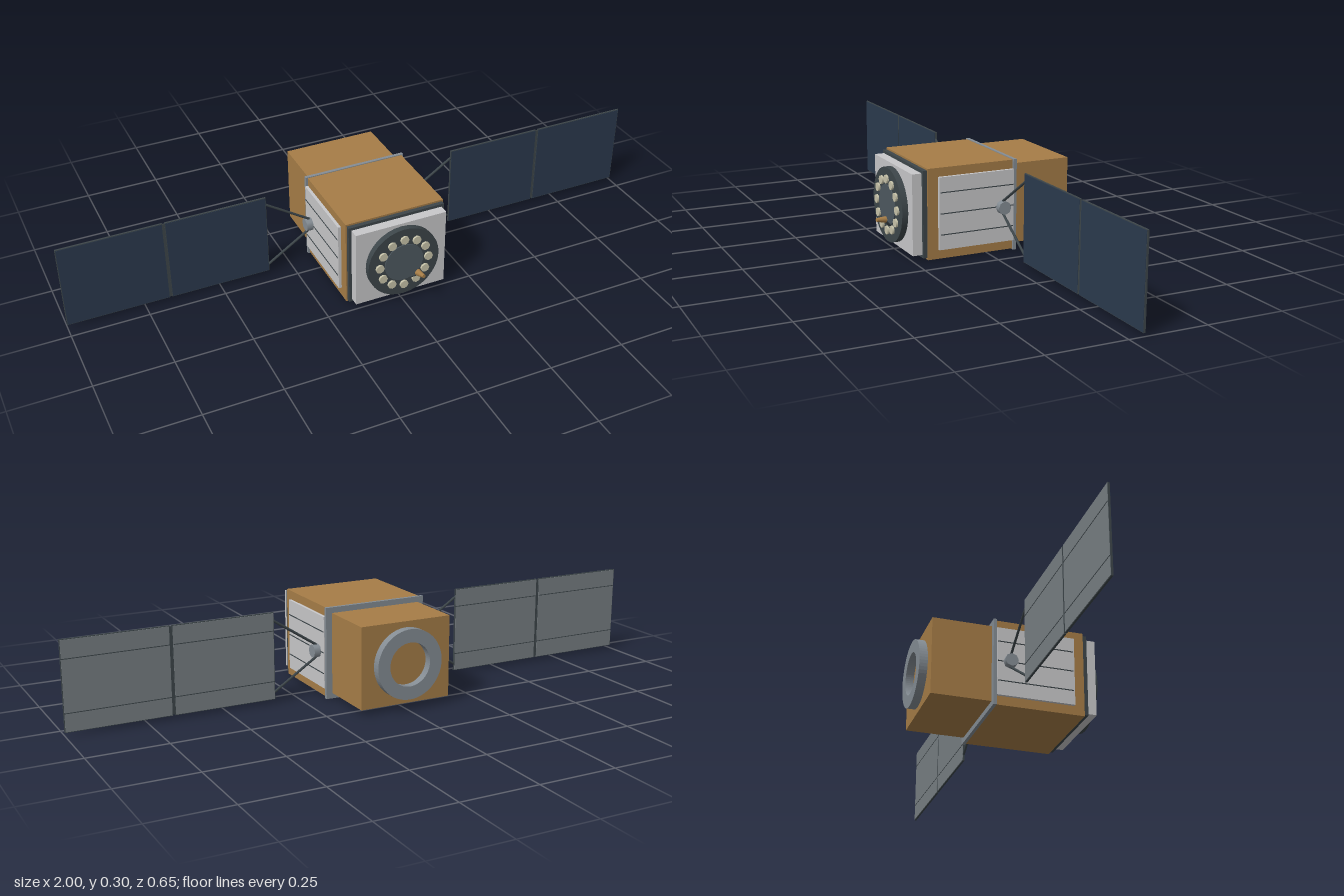
import * as THREE from 'three';

const mat = (name, color, flatShading = false) => {
  const m = new THREE.MeshStandardMaterial({ color, flatShading });
  m.name = name;
  return m;
};

export function createModel() {
  const gold = mat('gold foil', 0xa67d47);
  const white = mat('light panel', 0xc8c8ca);
  const dark = mat('dark frame', 0x3d464a);
  const inner = mat('inner disc', 0x4e5960);
  const grey = mat('grey metal', 0x858d94);
  const cream = mat('cream elements', 0xc9c5ab);
  const navy = mat('solar cells', 0x2b3a4e);
  const back = mat('panel backing', 0x787f83);

  const model = new THREE.Group();
  model.name = 'satellite';
  const CY = 0.149;

  const add = (name, geo, material, x = 0, y = 0, z = 0, parent = model) => {
    const mesh = new THREE.Mesh(geo, material);
    mesh.name = name;
    mesh.position.set(x, y, z);
    parent.add(mesh);
    return mesh;
  };
  // Box from its full width, height and z range
  const slab = (name, w, h, z0, z1, material) =>
    add(name, new THREE.BoxGeometry(w, h, z1 - z0), material, 0, CY, (z0 + z1) / 2);
  // Disc facing +z between two depths
  const disc = (name, r, z0, z1, sides, material, x = 0, y = CY) =>
    add(name, new THREE.CylinderGeometry(r, r, z1 - z0, sides).rotateX(Math.PI / 2),
      material, x, y, (z0 + z1) / 2);
  // Tapered rod between two points
  const rod = (name, a, b, r0, r1, sides, material, parent = model) => {
    const p = new THREE.Vector3(...a), q = new THREE.Vector3(...b);
    const d = q.clone().sub(p);
    const mesh = add(name, new THREE.CylinderGeometry(r1, r0, d.length(), sides), material, 0, 0, 0, parent);
    mesh.position.copy(p).add(q).multiplyScalar(0.5);
    mesh.quaternion.setFromUnitVectors(new THREE.Vector3(0, 1, 0), d.normalize());
    return mesh;
  };

  // Body
  slab('mainBody', 0.336, 0.293, -0.092, 0.204, gold);
  slab('rearBody', 0.31, 0.262, -0.297, -0.1, gold);
  slab('rearFrame', 0.35, 0.298, -0.101, -0.09, grey);
  slab('frontFrame', 0.328, 0.281, 0.204, 0.218, dark);
  slab('frontPlate', 0.31, 0.262, 0.218, 0.25, white);

  // Rear ring with open centre
  const ringShape = new THREE.Shape().absarc(0, 0, 0.112, 0, Math.PI * 2);
  ringShape.holes.push(new THREE.Path().absarc(0, 0, 0.07, 0, Math.PI * 2, true));
  add('rearRing', new THREE.ExtrudeGeometry(ringShape,
    { depth: 0.027, bevelEnabled: false, curveSegments: 32 }), grey, 0, CY, -0.324);

  // Antenna disc with a circle of elements
  disc('antennaDisc', 0.122, 0.25, 0.27, 32, dark);
  disc('antennaInnerDisc', 0.066, 0.27, 0.273, 32, inner);
  for (let i = 0; i < 12; i++) {
    const a = i * Math.PI / 6;
    disc('antennaElement', 0.0145, 0.27, 0.277, 8, cream,
      0.084 * Math.cos(a), CY + 0.084 * Math.sin(a));
  }

  // Small horn on an arm
  rod('hornArm', [0.025, 0.085, 0.27], [0.04, 0.112, 0.3], 0.004, 0.004, 8, dark);
  rod('horn', [0.038, 0.112, 0.293], [0.043, 0.116, 0.325], 0.011, 0.006, 10, gold);

  // Wings, the same on both sides
  for (const s of [1, -1]) {
    const side = new THREE.Group();
    side.name = s > 0 ? 'leftSide' : 'rightSide';
    model.add(side);
    const box = (name, w, h, d, m, x, y, z) =>
      add(name, new THREE.BoxGeometry(w, h, d), m, s * x, y, z, side);

    // Radiator and its grooves
    box('radiator', 0.012, 0.234, 0.259, white, 0.172, 0.15, 0.0395);
    for (const y of [0.082, 0.15, 0.218])
      box('radiatorLine', 0.002, 0.003, 0.253, dark, 0.1785, y, 0.0385);

    // Hub and yoke
    const Z = -0.048;
    add('hub', new THREE.CylinderGeometry(0.022, 0.022, 0.026, 8).rotateZ(Math.PI / 2),
      grey, s * 0.187, CY, Z, side);
    for (const v of [1, -1])
      rod('yokeStrut', [s * 0.185, CY + v * 0.02, Z], [s * 0.332, CY + v * 0.116, Z],
        0.0042, 0.0042, 8, dark, side);

    // Two solar panels with cells in front and backing behind
    for (const x of [0.4965, 0.8345]) {
      box('panelCore', 0.331, 0.282, 0.006, dark, x, 0.151, Z);
      box('solarCells', 0.327, 0.278, 0.0015, navy, x, 0.151, Z + 0.0035);
      box('panelBacking', 0.327, 0.278, 0.0015, back, x, 0.151, Z - 0.0035);
      for (const y of [0.069, 0.233])
        box('backRib', 0.327, 0.0025, 0.0012, dark, x, y, Z - 0.0045);
    }
    box('panelHinge', 0.008, 0.276, 0.004, dark, 0.6655, 0.151, Z);
  }
  return model;
}
